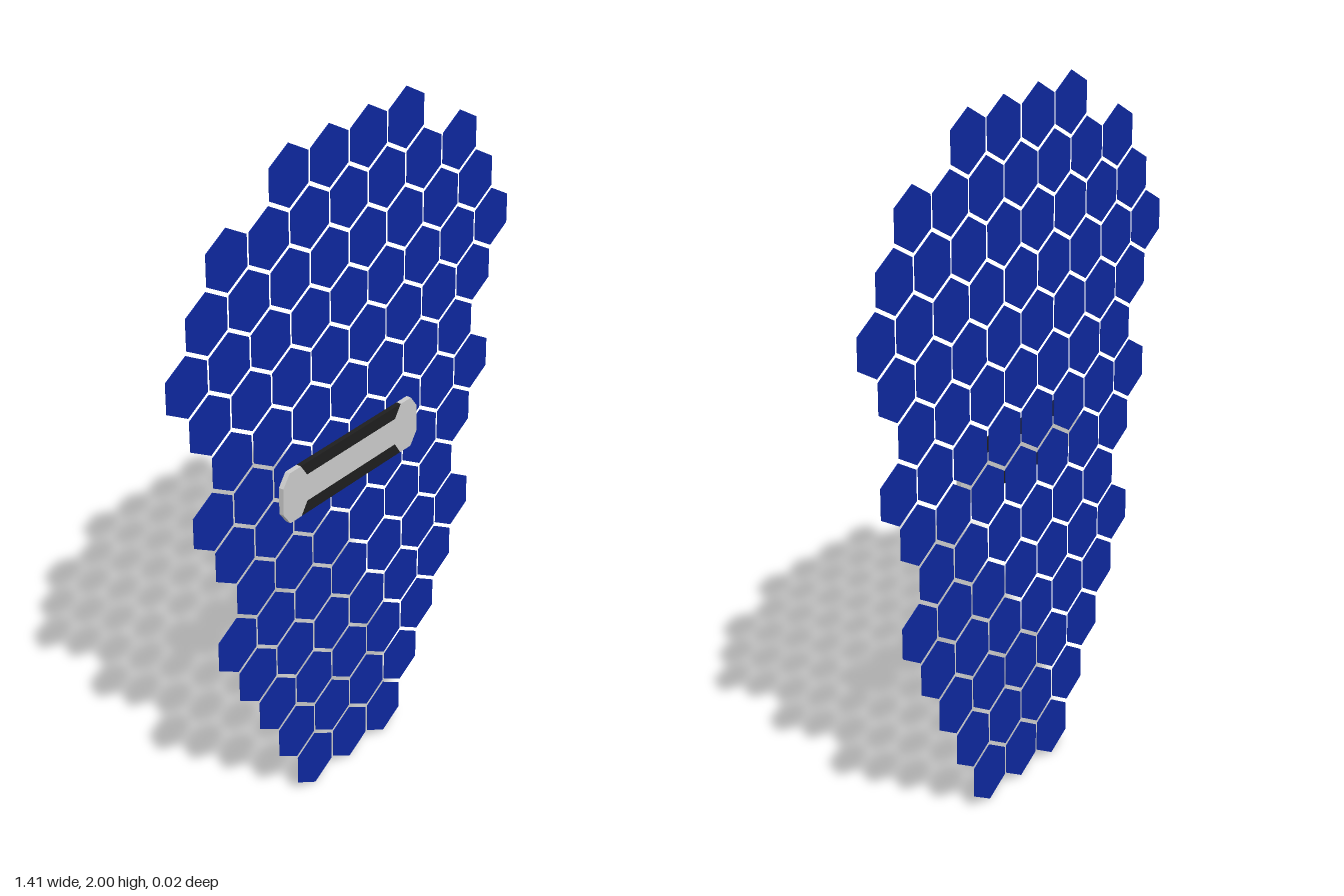
import * as THREE from 'three';

const material = (color) => new THREE.MeshStandardMaterial({ color, flatShading: true });

// Flat plate cut from an outline, running from z0 to z1
function plate(name, points, z0, z1, mat) {
  const shape = new THREE.Shape(points.map(([x, y]) => new THREE.Vector2(x, y)));
  const geometry = new THREE.ExtrudeGeometry(shape, { depth: z1 - z0, bevelEnabled: false });
  geometry.translate(0, 0, z0);
  const mesh = new THREE.Mesh(geometry, mat);
  mesh.name = name;
  return mesh;
}

export function createModel() {
  const model = new THREE.Group();
  model.name = 'hexagonPanel';
  const blue = material(0x0d289f);
  const grey = material(0xcccccc);
  const black = material(0x1e1e1e);

  // Honeycomb of thin tiles, rows listed from bottom to top
  const tiles = new THREE.Group();
  tiles.name = 'hexagonTiles';
  const rows = [3, 4, 5, 6, 7, 6, 7, 8, 7, 8, 9, 8, 7, 4];
  const radius = 0.0865, stepX = 0.158, stepY = 0.1405;
  const hexagon = Array.from({ length: 6 }, (_, i) => {
    const a = Math.PI / 6 + (i * Math.PI) / 3;
    return [radius * Math.cos(a), radius * Math.sin(a)];
  });
  const firstTile = plate('tile', hexagon, -0.0085, -0.0065, blue);
  rows.forEach((count, row) => {
    for (let i = 0; i < count; i++) {
      const tile = firstTile.clone();
      tile.position.set((i - (count - 1) / 2) * stepX, radius + row * stepY, 0);
      tiles.add(tile);
    }
  });
  model.add(tiles);

  // Centre bar with eight-sided ends
  const badge = new THREE.Group();
  badge.name = 'centreBar';
  badge.position.set(-0.008, 1.01, 0);
  const quarter = [[0.288, 0.04], [0.261, 0.0765], [0.215, 0.0765], [0.19, 0.04]];
  const top = [...quarter, ...quarter.map(([x, y]) => [-x, y]).reverse()];
  const outline = [...top, ...top.map(([x, y]) => [x, -y]).reverse()];
  badge.add(plate('bar', outline, -0.0065, 0.0085, grey));

  // Dark strips filling the recesses above and below the bar
  for (const s of [1, -1]) {
    const strip = [[0.19, 0.04], [0.215, 0.0765], [-0.215, 0.0765], [-0.19, 0.04]];
    badge.add(plate(s > 0 ? 'upperStrip' : 'lowerStrip', strip.map(([x, y]) => [x, s * y]), -0.0065, 0.008, black));
  }
  model.add(badge);
  return model;
}
